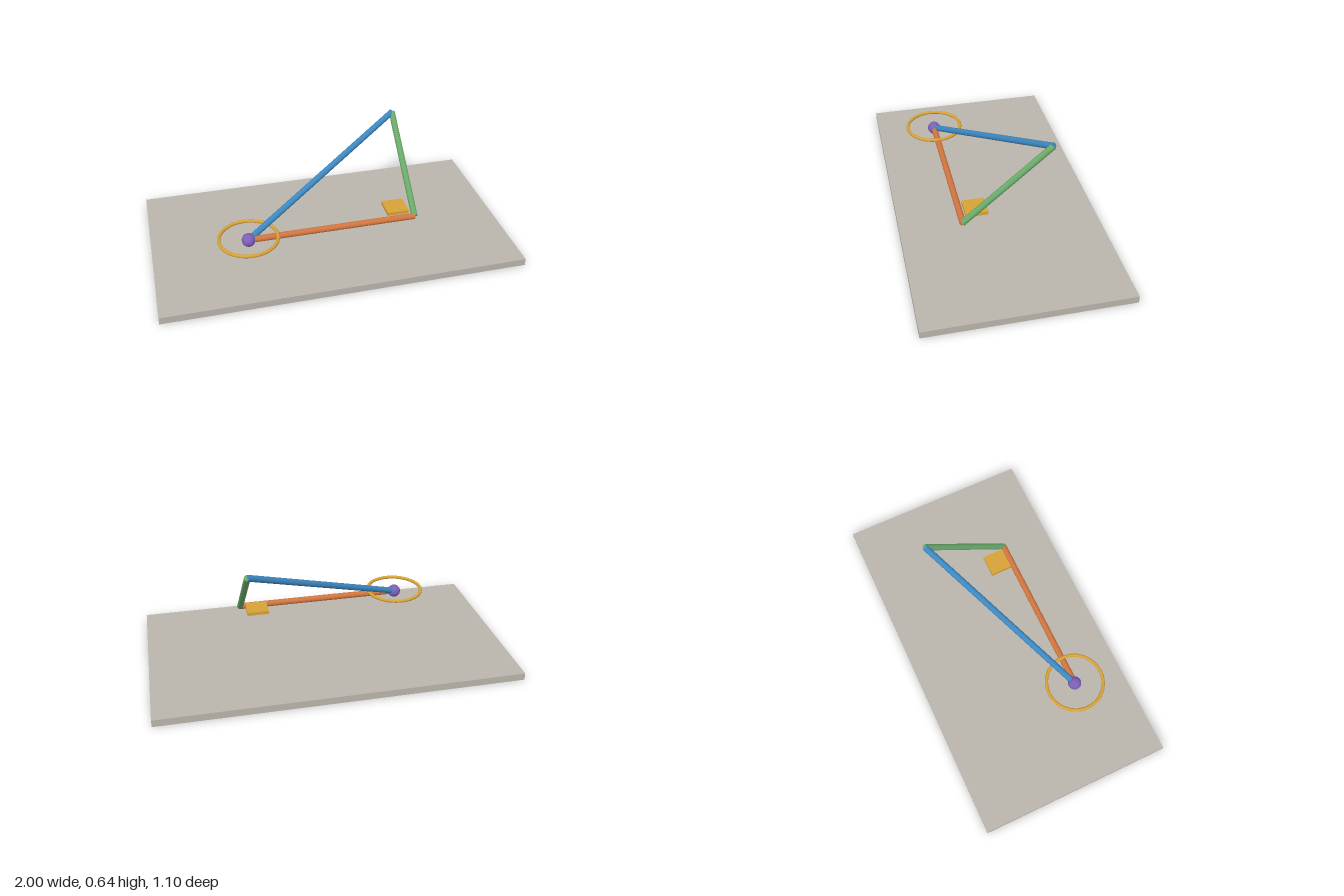
import * as THREE from 'three';

const paint = (name, color) => {
  const m = new THREE.MeshStandardMaterial({ color });
  m.name = name;
  return m;
};

export function createModel() {
  const model = new THREE.Group();
  model.name = 'triangleOverPlane';

  const stone = paint('warm grey', 0xbab5ac);
  const orange = paint('orange', 0xd0753f);
  const green = paint('green', 0x6aaa6a);
  const blue = paint('blue', 0x3d87c0);
  const purple = paint('purple', 0x7c5fb8);
  const gold = paint('gold', 0xd6a236);

  const add = (name, geometry, material, position) => {
    const mesh = new THREE.Mesh(geometry, material);
    mesh.name = name;
    mesh.position.copy(position);
    model.add(mesh);
    return mesh;
  };

  // Round rod running between two points
  const rod = (name, from, to, material, radius = 0.0175) => {
    const along = to.clone().sub(from);
    const mesh = add(name, new THREE.CylinderGeometry(radius, radius, along.length(), 24),
      material, from.clone().lerp(to, 0.5));
    mesh.quaternion.setFromUnitVectors(new THREE.Vector3(0, 1, 0), along.normalize());
  };

  // Corners of the triangle
  const pivot = new THREE.Vector3(-0.483, 0.208, 0.233);
  const foot = new THREE.Vector3(0.452, 0.208, 0.233);
  const apex = new THREE.Vector3(0.452, 0.621, -0.239);

  // Ground slab
  add('basePlane', new THREE.BoxGeometry(2, 0.04, 1.1), stone, new THREE.Vector3(0, 0.02, 0));

  // Three sides
  rod('baseSide', pivot, foot, orange);
  rod('risingSide', foot, apex, green);
  rod('longSide', pivot, apex, blue);

  // Pivot ball with the angle ring around it
  add('pivotBall', new THREE.SphereGeometry(0.037, 32, 20), purple, pivot);
  const ring = add('angleRing', new THREE.TorusGeometry(0.159, 0.0095, 16, 64), gold,
    new THREE.Vector3(pivot.x, 0.22, pivot.z));
  ring.rotation.x = Math.PI / 2;

  // Square marker at the right angle
  add('rightAngleMarker', new THREE.BoxGeometry(0.122, 0.019, 0.122), gold,
    new THREE.Vector3(0.364, 0.227, 0.15));

  return model;
}
